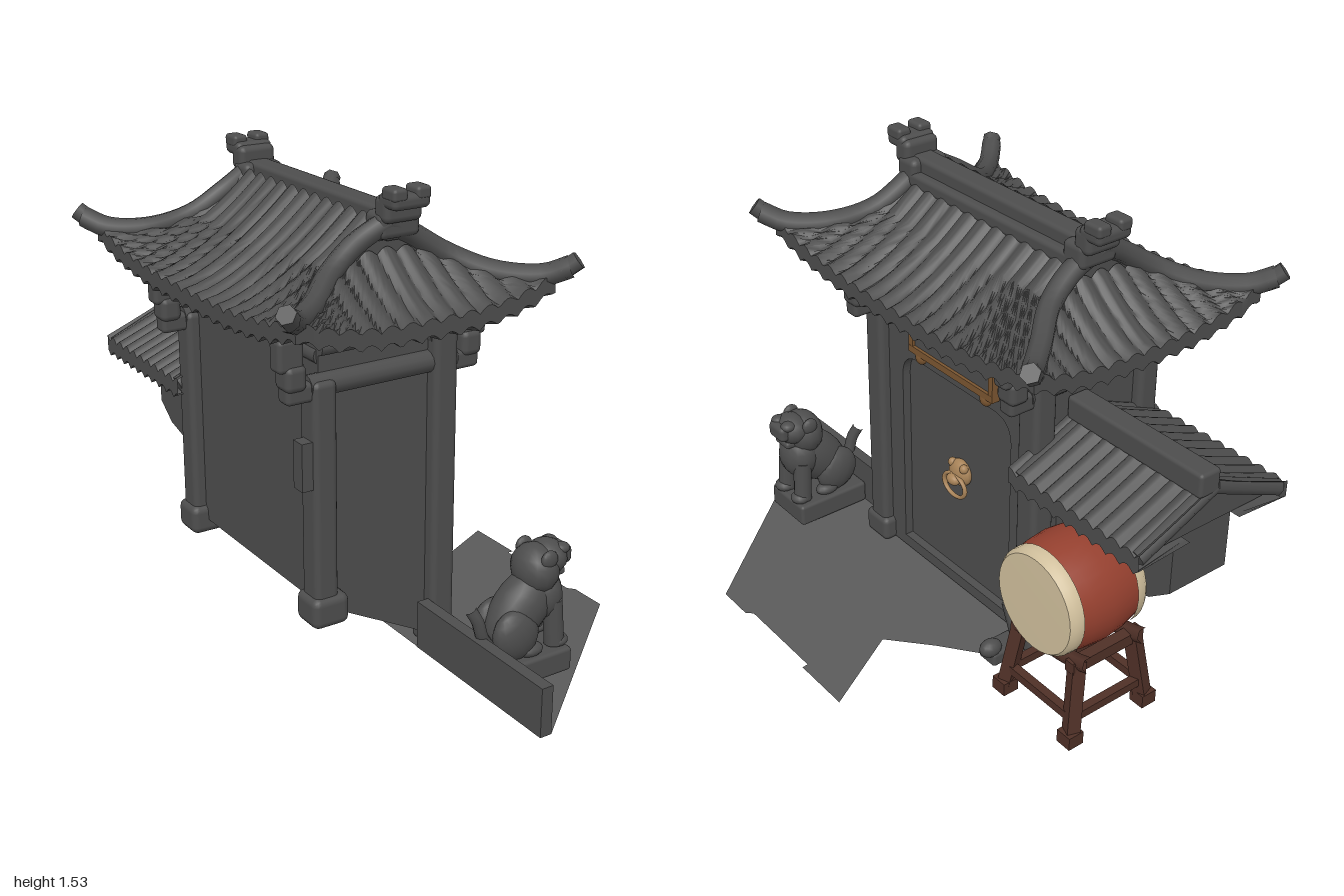
import * as THREE from 'three';
import { toCreasedNormals } from 'three/addons/utils/BufferGeometryUtils.js';
import { RoundedBoxGeometry } from 'three/addons/geometries/RoundedBoxGeometry.js';

const paint = (name, color, side = THREE.FrontSide) =>
  Object.assign(new THREE.MeshStandardMaterial({ color, side }), { name });
const V = (x, y, z) => new THREE.Vector3(x, y, z);

export function createModel() {
  const model = new THREE.Group();
  model.name = 'gatehouse';
  const stone = paint('darkStone', 0x4d4d4d);
  const sheetStone = paint('darkStoneSheet', 0x4d4d4d, THREE.DoubleSide);
  const paving = paint('paving', 0x5a5a5a, THREE.DoubleSide);
  const red = paint('redLacquer', 0x95402f);
  const cream = paint('creamHide', 0xd0bf9c);
  const wood = paint('darkWood', 0x4f3027);
  const bronze = paint('bronze', 0xa88358);
  const frameWood = paint('frameWood', 0x7a5530);

  // ---- helpers ----
  const group = (name, parent = model) => {
    const g = new THREE.Group();
    g.name = name;
    parent.add(g);
    return g;
  };
  const add = (parent, name, geo, mat, x = 0, y = 0, z = 0) => {
    const m = new THREE.Mesh(geo, mat);
    m.name = name;
    m.position.set(x, y, z);
    parent.add(m);
    return m;
  };
  const box = (parent, name, mat, x0, x1, y0, y1, z0, z1, r = 0) => {
    const s = [x1 - x0, y1 - y0, z1 - z0];
    const geo = r ? new RoundedBoxGeometry(...s, 2, r) : new THREE.BoxGeometry(...s);
    return add(parent, name, geo, mat, (x0 + x1) / 2, (y0 + y1) / 2, (z0 + z1) / 2);
  };
  const ball = (parent, name, mat, x, y, z, sx, sy, sz, tilt = 0) => {
    const m = add(parent, name, new THREE.SphereGeometry(1, 14, 10), mat, x, y, z);
    m.scale.set(sx, sy, sz);
    m.rotation.z = tilt;
    return m;
  };
  const beam = (parent, name, mat, a, b, r, sides = 12) => {
    const geo = new THREE.CylinderGeometry(r, r, a.distanceTo(b), sides);
    const m = add(parent, name, sides === 4 ? toCreasedNormals(geo.rotateY(Math.PI / 4), 0.5) : geo, mat);
    m.position.copy(a).lerp(b, 0.5);
    m.quaternion.setFromUnitVectors(V(0, 1, 0), b.clone().sub(a).normalize());
    return m;
  };
  const tube = (parent, name, mat, pts, r, sides = 8) =>
    add(parent, name, new THREE.TubeGeometry(new THREE.CatmullRomCurve3(pts), 20, r, sides), mat);
  const sheet = (f, nu, nv) => {
    const pos = [], idx = [];
    for (let j = 0; j <= nv; j++) for (let i = 0; i <= nu; i++) pos.push(...f(i / nu, j));
    for (let j = 0; j < nv; j++) for (let i = 0; i < nu; i++) {
      const a = j * (nu + 1) + i, b = a + nu + 1;
      idx.push(a, b, a + 1, a + 1, b, b + 1);
    }
    const g = new THREE.BufferGeometry();
    g.setAttribute('position', new THREE.Float32BufferAttribute(pos, 3));
    g.setIndex(idx);
    return toCreasedNormals(g, 0.8);
  };
  const poly = (pts) => new THREE.Shape(pts.map(([x, y]) => new THREE.Vector2(x, y)));
  // shape x runs along -z, depth along +x
  const sideways = (shape, depth, x) =>
    new THREE.ExtrudeGeometry(shape, { depth, bevelEnabled: false }).rotateY(Math.PI / 2).translate(x, 0, 0);

  // ---- gate body ----
  const body = group('gateBody');
  add(body, 'core', new THREE.ExtrudeGeometry(poly([[-0.4, 0.27], [-0.06, 0.09], [0, 0.05], [0, 1.12], [-0.4, 1.12]]),
    { depth: 0.8, bevelEnabled: false }), stone, 0, 0, -0.44);
  const arch = (a, b, y0, y1, r, Type) => {
    const s = new Type();
    s.moveTo(a, y0).lineTo(b, y0).lineTo(b, y1 - r).quadraticCurveTo(b, y1, b - r, y1);
    s.lineTo(a + r, y1).quadraticCurveTo(a, y1, a, y1 - r).lineTo(a, y0);
    return s;
  };
  const wall = poly([[-0.36, 0.04], [0.44, 0.04], [0.44, 1.1], [-0.36, 1.1]]);
  wall.holes.push(arch(-0.24, 0.32, 0.08, 0.82, 0.09, THREE.Path));
  add(body, 'doorWall', sideways(wall, 0.03, 0), stone);
  for (const z of [0.36, -0.43]) {
    box(body, 'frontPost', stone, -0.02, 0.065, 0.04, 1.1, z - 0.045, z + 0.045, 0.02);
    box(body, 'frontPostFoot', stone, -0.03, 0.075, 0.03, 0.12, z - 0.06, z + 0.06, 0.02);
    box(body, 'backPost', stone, -0.44, -0.36, 0.28, 1.0, z - 0.045, z + 0.045, 0.02);
    box(body, 'backPostFoot', stone, -0.455, -0.33, 0.22, 0.32, z - 0.06, z + 0.06, 0.025);
    beam(body, 'endBeam', stone, V(-0.44, 0.98, z), V(0.07, 0.98, z), 0.035);
    beam(body, 'upperEndBeam', stone, V(-0.4, 1.09, z), V(0.03, 1.09, z), 0.025);
    // corbels reaching out under the eaves
    for (const s of [-1, 1]) {
      const c = group('corbel', body);
      c.position.set(-0.185, 0, z);
      c.scale.x = s;
      box(c, 'corbelArm', stone, 0.22, 0.335, 0.94, 1.0, -0.03, 0.03, 0.015);
      box(c, 'corbelBlock', stone, 0.27, 0.34, 0.98, 1.06, -0.04, 0.04, 0.02);
      box(c, 'corbelCap', stone, 0.275, 0.36, 1.04, 1.14, -0.03, 0.03, 0.015);
    }
  }
  beam(body, 'frontBeam', stone, V(0.012, 1.06, 0.38), V(0.012, 1.06, -0.46), 0.036);
  beam(body, 'backBeam', stone, V(-0.38, 1.06, 0.35), V(-0.38, 1.06, -0.43), 0.03);
  box(body, 'postPlate', stone, -0.475, -0.43, 0.67, 0.82, 0.34, 0.39);

  // ---- hip and gable roof ----
  const roof = group('mainRoof');
  roof.position.set(-0.155, 0, -0.07);
  const slopeY = (t) => 1.43 - 0.25 * (1 - (1 - t) ** 1.5);
  const halfX = (t) => 0.03 + 0.41 * t;
  const halfZ = (t) => 0.41 + 0.23 * Math.max(0, (t - 0.4) / 0.6);
  const rib = (p, pitch) => 0.02 * Math.abs(Math.cos((Math.PI * p) / pitch)) - 0.01;
  const lift = (a, t) => 0.07 * t * t * Math.abs(a) ** 3;
  for (const s of [-1, 1]) {
    add(roof, 'longSlope', sheet((u, j) => {
      const t = Math.min(j, 10) / 10, a = 2 * u - 1, z = a * halfZ(t);
      if (j === 12) return [s * 0.2, 1.1, a * 0.4];
      return [s * halfX(t), slopeY(t) + lift(a, t) + rib(z, 0.067) - (j > 10 ? 0.05 : 0), z];
    }, 120, 12), sheetStone);
    add(roof, 'endSlope', sheet((u, j) => {
      const k = Math.min(j, 10) / 10, t = 0.4 + 0.6 * k, a = 2 * u - 1, x = a * halfX(t);
      if (j === 12) return [a * 0.2, 1.1, s * 0.4];
      const swell = 0.04 * (1 - a * a) * (1 - k);
      return [x, slopeY(t) + lift(a, t) + swell + rib(x, 0.067) - (j > 10 ? 0.05 : 0), s * halfZ(t)];
    }, 84, 12), sheetStone);
    const edge = [0, 0.1, 0.2, 0.3, 0.4].map((t) => [halfX(t), slopeY(t)]);
    add(roof, 'gable', new THREE.ShapeGeometry(poly([...edge, ...edge.map(([x, y]) => [-x, y]).reverse()])),
      sheetStone, 0, 0, s * 0.405);
    // hip ridges sweeping out to raised tips
    for (const d of [-1, 1]) {
      const pts = [[0, 1.42, 0.41], [0.1, 1.365, 0.4], [0.2, 1.3, 0.425], [0.31, 1.25, 0.515], [0.42, 1.245, 0.61], [0.475, 1.275, 0.665]];
      tube(roof, 'hipRidge', stone, pts.map(([x, y, z]) => V(d * x, y, s * z)), 0.034);
      beam(roof, 'eaveTip', stone, V(d * 0.455, 1.26, s * 0.65), V(d * 0.49, 1.295, s * 0.68), 0.03, 6);
    }
    // upturned ridge ornament
    const f = group('ridgeOrnament', roof);
    f.position.x = 0.01;
    f.scale.z = s;
    box(f, 'ornamentBase', stone, -0.05, 0.09, 1.37, 1.45, 0.35, 0.44, 0.02);
    box(f, 'ornamentNeck', stone, -0.045, 0.085, 1.42, 1.5, 0.39, 0.46, 0.02);
    box(f, 'ornamentHead', stone, -0.045, 0.085, 1.465, 1.51, 0.41, 0.5, 0.018);
    for (const x of [-0.02, 0.06]) box(f, 'ornamentHorn', stone, x - 0.025, x + 0.025, 1.49, 1.53, 0.43, 0.5, 0.012);
  }
  box(roof, 'ridge', stone, -0.01, 0.07, 1.36, 1.455, -0.42, 0.42, 0.015);
  box(roof, 'ridgeFoot', stone, -0.045, 0.1, 1.36, 1.41, -0.41, 0.41, 0.015);

  // ---- wing wall with its small roof ----
  const wing = group('wing');
  add(wing, 'wingWall', sideways(poly([[0.42, 0.32], [0.52, 0.35], [0.86, 0.44], [0.94, 0.5], [0.94, 0.78], [0.42, 0.78]]), 0.23, -0.29), stone);
  for (const s of [-1, 1]) {
    add(wing, 'wingSlope', sheet((u, j) => {
      const t = Math.min(j, 6) / 6, z = -0.44 - 0.56 * u;
      if (j === 8) return [-0.16 + s * 0.1, 0.72, z];
      return [-0.16 + s * 0.3 * t, 0.885 - 0.13 * t ** 0.9 + rib(z, 0.056) - (j > 6 ? 0.055 : 0), z];
    }, 60, 8), sheetStone);
    // thick bargeboards closing both roof ends
    for (const z of [-0.475, -0.975])
      beam(wing, 'bargeboard', stone, V(-0.16, 0.86, z), V(-0.16 + s * 0.285, 0.735, z), 0.027, 8);
  }
  add(wing, 'wingGable', new THREE.ShapeGeometry(poly([[-0.43, 0.72], [0.11, 0.72], [-0.16, 0.87]])), sheetStone, 0, 0, -0.965);
  box(wing, 'wingRidge', stone, -0.165, -0.085, 0.85, 0.93, -1.0, -0.44, 0.012);

  // ---- plaque over the door ----
  const plaque = group('plaque');
  plaque.position.set(0.045, 0.88, -0.05);
  box(plaque, 'plaqueBoard', stone, -0.02, 0.005, 0, 0.17, -0.2, 0.2);
  for (const y of [0, 0.17]) box(plaque, 'plaqueRail', frameWood, -0.02, 0.016, y - 0.012, y + 0.012, -0.213, 0.213);
  for (const s of [-1, 1]) {
    box(plaque, 'plaqueStile', frameWood, -0.02, 0.015, 0, 0.17, s * 0.203 - 0.01, s * 0.203 + 0.01);
    ball(plaque, 'plaqueFoot', frameWood, 0, -0.022, s * 0.165, 0.018, 0.024, 0.024);
  }

  // ---- door knocker ----
  const knocker = group('doorKnocker');
  knocker.position.set(0.005, 0.47, -0.045);
  ball(knocker, 'knockerHead', bronze, 0.005, 0.015, 0, 0.03, 0.048, 0.05);
  ball(knocker, 'knockerSnout', bronze, 0.035, 0.0, 0, 0.02, 0.02, 0.028);
  for (const s of [-1, 1]) ball(knocker, 'knockerEar', bronze, 0.015, 0.045, s * 0.03, 0.015, 0.016, 0.015);
  const ring = add(knocker, 'knockerRing', new THREE.TorusGeometry(0.055, 0.008, 8, 24), bronze, 0.03, -0.025, 0);
  ring.rotation.y = Math.PI / 2;
  ring.scale.y = 0.75;

  // ---- drum, lying with its head to the front of the gate ----
  const drum = group('drum');
  drum.position.set(0.102, 0.465, -0.7);
  drum.rotation.z = -Math.PI / 2;
  const lathe = (pts) => new THREE.LatheGeometry(pts.map(([r, y]) => new THREE.Vector2(r, y)), 32);
  add(drum, 'drumBarrel', lathe([[0.163, -0.13], [0.177, -0.07], [0.184, 0], [0.177, 0.07], [0.163, 0.13]]), red);
  for (const s of [-1, 1]) {
    const head = add(drum, 'drumHead', toCreasedNormals(lathe([[0.173, 0.105], [0.171, 0.135], [0.16, 0.15], [0, 0.152]]), 0.7), cream);
    if (s < 0) head.rotation.x = Math.PI;
  }

  // ---- drum stand ----
  const stand = group('drumStand');
  stand.position.set(0.08, 0, -0.705);
  for (const s of [-1, 1]) {
    tube(stand, 'topRailZ', wood, [V(s * 0.11, 0.32, -0.175), V(s * 0.11, 0.3, -0.11), V(s * 0.11, 0.285, 0), V(s * 0.11, 0.3, 0.11), V(s * 0.11, 0.32, 0.175)], 0.025, 6);
    beam(stand, 'topRailX', wood, V(-0.14, 0.295, s * 0.125), V(0.14, 0.295, s * 0.125), 0.027, 4);
    beam(stand, 'braceZ', wood, V(s * 0.14, 0.12, -0.145), V(s * 0.14, 0.12, 0.145), 0.02, 4);
    beam(stand, 'braceX', wood, V(-0.14, 0.12, s * 0.145), V(0.14, 0.12, s * 0.145), 0.02, 4);
    for (const d of [-1, 1]) {
      beam(stand, 'leg', wood, V(s * 0.11, 0.31, d * 0.125), V(s * 0.148, 0.05, d * 0.152), 0.03, 4);
      box(stand, 'foot', wood, s * 0.15 - 0.028, s * 0.15 + 0.028, 0.03, 0.075, d * 0.152 - 0.028, d * 0.152 + 0.028);
    }
  }

  // ---- seated guardian lion ----
  const lion = group('guardianLion');
  lion.position.z = 0.655;
  box(lion, 'plinth', stone, -0.02, 0.26, 0.035, 0.115, -0.1, 0.1, 0.012);
  ball(lion, 'torso', stone, 0.13, 0.25, 0, 0.155, 0.09, 0.078, 0.8);
  ball(lion, 'chest', stone, 0.2, 0.28, 0, 0.068, 0.09, 0.08);
  ball(lion, 'mane', stone, 0.18, 0.365, 0, 0.07, 0.08, 0.085);
  ball(lion, 'head', stone, 0.225, 0.395, 0, 0.058, 0.055, 0.07);
  box(lion, 'snout', stone, 0.21, 0.293, 0.37, 0.43, -0.045, 0.045, 0.018);
  box(lion, 'jaw', stone, 0.2, 0.27, 0.335, 0.36, -0.04, 0.04, 0.01);
  tube(lion, 'tail', stone, [V(0.02, 0.14, 0), V(-0.02, 0.19, 0.01), V(-0.04, 0.25, 0.01), V(-0.06, 0.29, 0)], 0.02);
  for (const s of [-1, 1]) {
    ball(lion, 'haunch', stone, 0.075, 0.19, s * 0.05, 0.08, 0.085, 0.045, 0.5);
    ball(lion, 'hindPaw', stone, 0.125, 0.13, s * 0.06, 0.045, 0.022, 0.03);
    beam(lion, 'foreleg', stone, V(0.215, 0.27, s * 0.047), V(0.225, 0.12, s * 0.052), 0.032);
    ball(lion, 'forePaw', stone, 0.235, 0.13, s * 0.052, 0.035, 0.022, 0.035);
    ball(lion, 'ear', stone, 0.185, 0.415, s * 0.062, 0.03, 0.03, 0.016);
    ball(lion, 'brow', stone, 0.255, 0.425, s * 0.03, 0.028, 0.018, 0.025);
  }

  // ---- broken statue remains beside the far post ----
  const remains = group('statueRemains');
  beam(remains, 'tailStump', stone, V(0.08, 0.04, -0.44), V(0.1, 0.21, -0.4), 0.018, 6);
  box(remains, 'plinthPiece', stone, 0.07, 0.2, 0.03, 0.08, -0.46, -0.38, 0.012);
  ball(remains, 'pawPiece', stone, 0.19, 0.09, -0.43, 0.04, 0.03, 0.03);

  // ---- low wall and paved ground, which dips away from the gate ----
  box(model, 'lowWall', stone, -0.06, -0.02, 0.035, 0.195, 0.38, 1.0);
  const ground = new THREE.ShapeGeometry(poly([[-0.06, -1], [-0.02, -1], [0.66, -0.43], [0.66, -0.3], [0.64, -0.28], [0.64, 0.05],
    [0.66, 0.05], [0.66, 0.26], [0.385, 0.11], [0.27, 0.25], [0.12, 0.46], [-0.06, 0.46]])).rotateX(-Math.PI / 2);
  const p = ground.attributes.position;
  for (let i = 0; i < p.count; i++) p.setY(i, 0.037 - 0.037 * ((p.getX(i) + 0.06) / 0.72));
  ground.computeVertexNormals();
  add(model, 'ground', ground, paving);
  return model;
}
